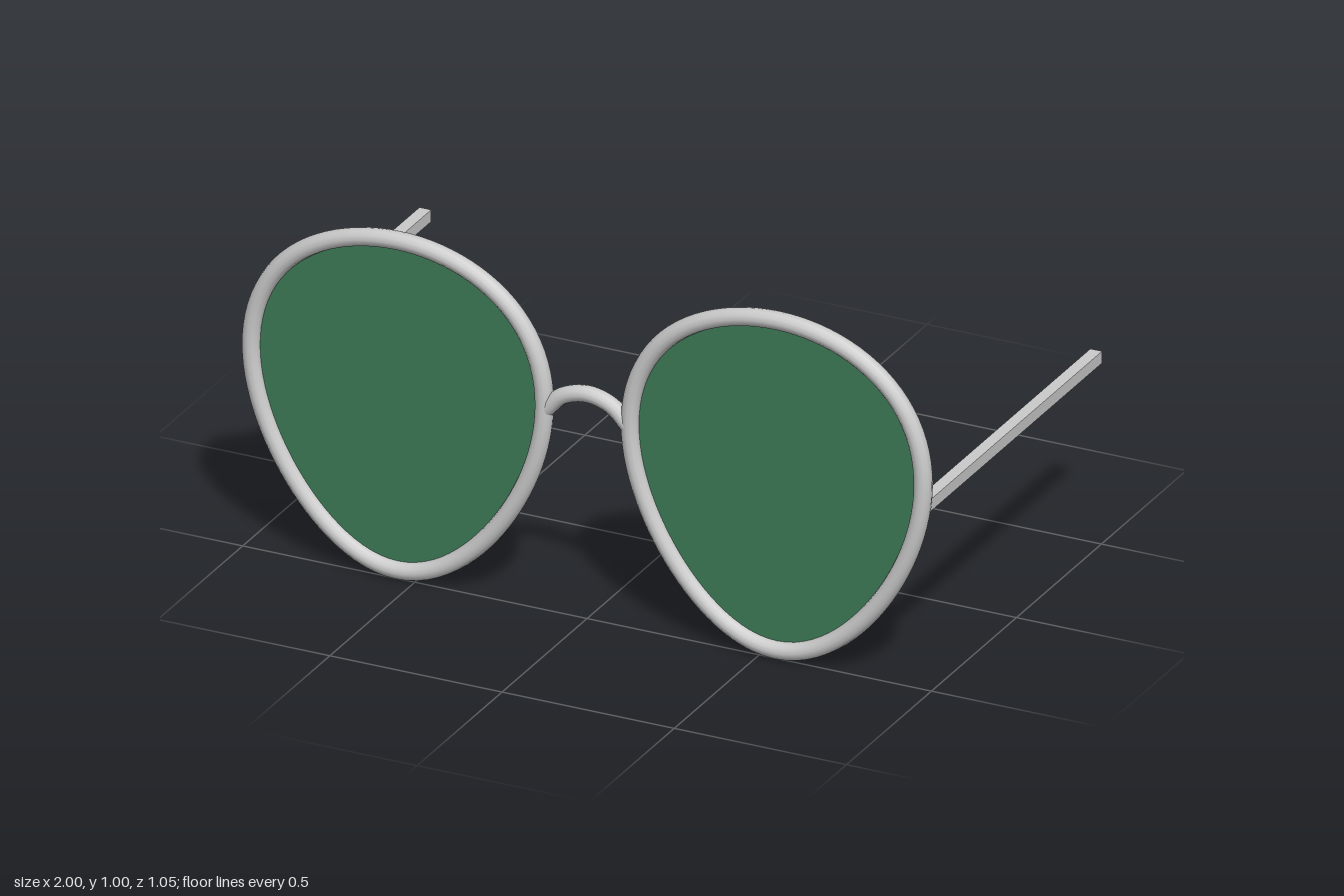
import * as THREE from 'three';

const FRONT_Z = 0.498;
const TUBE = 0.025;

// Egg-shaped outline, wider above the middle
function outline(count) {
  const points = [];
  for (let i = 0; i < count; i++) {
    const t = (i / count) * Math.PI * 2;
    const s = Math.sin(t);
    points.push(new THREE.Vector3(0.417 * Math.cos(t) * (1 + 0.205 * s), 0.5 + 0.474 * s, 0));
  }
  return points;
}

function part(name, geometry, material, x = 0, y = 0, z = 0) {
  const mesh = new THREE.Mesh(geometry, material);
  mesh.name = name;
  mesh.position.set(x, y, z);
  return mesh;
}

export function createModel() {
  const model = new THREE.Group();
  model.name = 'sunglasses';
  const metal = new THREE.MeshStandardMaterial({ color: 0xcccccc });
  const glass = new THREE.MeshStandardMaterial({ color: 0x3d7a55, side: THREE.DoubleSide });

  const rimGeometry = new THREE.TubeGeometry(
    new THREE.CatmullRomCurve3(outline(48), true), 96, TUBE, 12, true);
  const lensGeometry = new THREE.ShapeGeometry(
    new THREE.Shape(outline(96).map((p) => new THREE.Vector2(p.x, p.y))));
  const templeGeometry = new THREE.BoxGeometry(0.034, 0.034, 1.02);

  // Rim, lens and temple on each side
  for (const [side, sign] of [['left', 1], ['right', -1]]) {
    model.add(
      part(side + 'Rim', rimGeometry, metal, sign * 0.55, 0, FRONT_Z),
      part(side + 'Lens', lensGeometry, glass, sign * 0.55, 0, FRONT_Z),
      part(side + 'Temple', templeGeometry, metal, sign * 0.974, 0.528, -0.012),
    );
  }

  // Arched nose bridge
  const arch = new THREE.CatmullRomCurve3([
    [-0.125, 0.575], [-0.07, 0.628], [0, 0.647], [0.07, 0.628], [0.125, 0.575],
  ].map(([x, y]) => new THREE.Vector3(x, y, 0)));
  model.add(part('bridge', new THREE.TubeGeometry(arch, 24, 0.023, 12), metal, 0, 0, FRONT_Z));

  return model;
}
